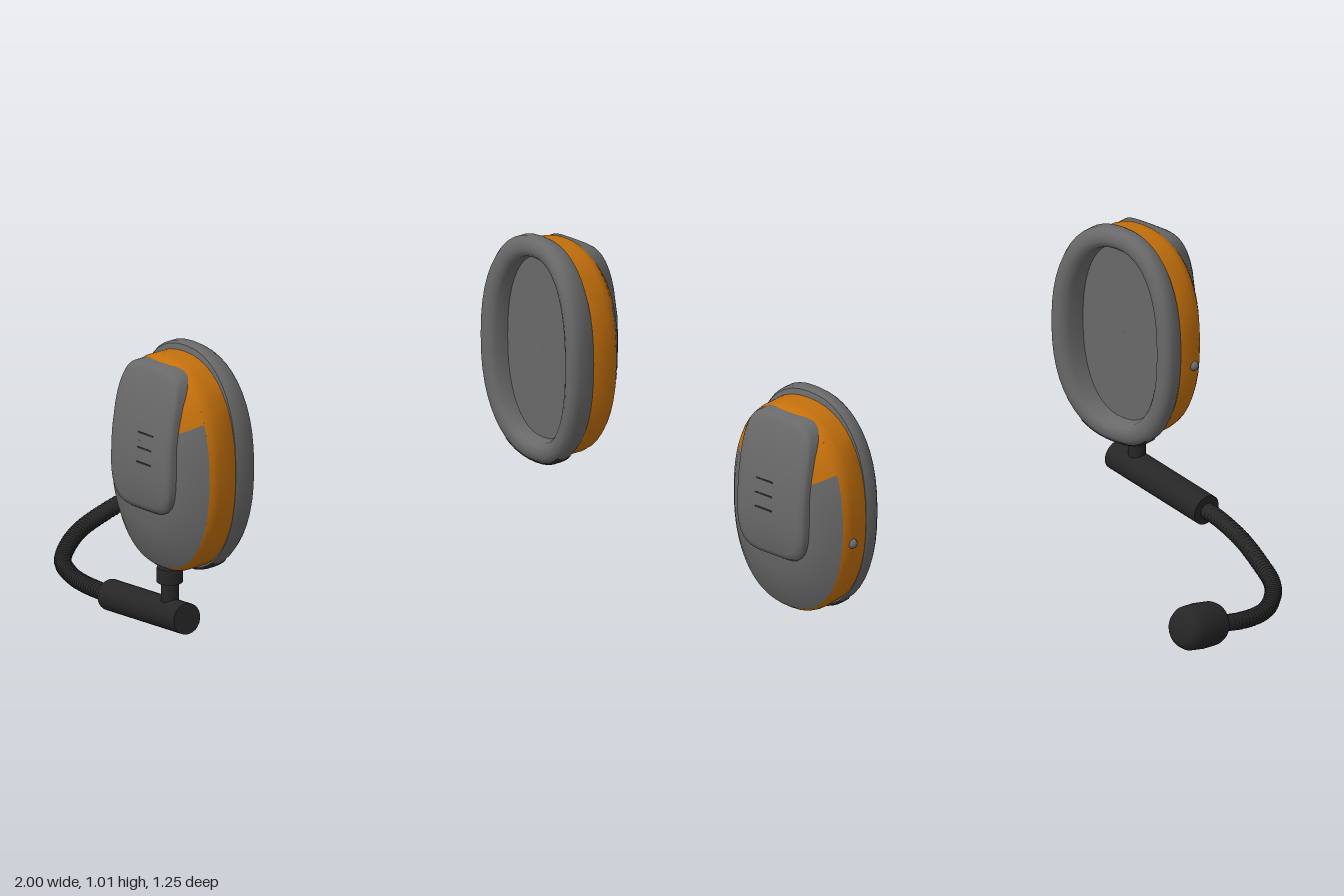
import * as THREE from 'three';
import { toCreasedNormals } from 'three/addons/utils/BufferGeometryUtils.js';

const mat = (name, color, side = THREE.FrontSide) => {
  const m = new THREE.MeshStandardMaterial({ color, side });
  m.name = name;
  return m;
};

const CZ = 0.375; // depth centre of the ear cups
const DEG = Math.PI / 180;

// Skin over superellipse rings [x, halfY, halfZ, centreY]; s = -1 mirrors in x
function loft(rings, s, { n = 2.3, from = 0, to = 360, warp = (x) => x, seg = 48 } = {}) {
  const pos = [], idx = [];
  const curve = (v) => Math.sign(v) * Math.pow(Math.abs(v), 2 / n);
  for (const [x, hy, hz, cy] of rings) {
    for (let j = 0; j <= seg; j++) {
      const t = (from + ((to - from) * j) / seg) * DEG;
      const y = cy + hy * curve(Math.sin(t));
      const z = CZ + hz * curve(Math.cos(t));
      pos.push(s * warp(x, y, z), y, z);
    }
  }
  const w = seg + 1;
  for (let i = 0; i < rings.length - 1; i++) {
    for (let j = 0; j < seg; j++) {
      const a = i * w + j, b = a + w, c = a + 1, d = b + 1;
      if (s > 0) idx.push(a, b, c, b, d, c);
      else idx.push(a, c, b, b, c, d);
    }
  }
  const g = new THREE.BufferGeometry();
  g.setAttribute('position', new THREE.Float32BufferAttribute(pos, 3));
  g.setIndex(idx);
  return toCreasedNormals(g, 0.7);
}

export function createModel() {
  const grey = mat('grey', 0x696969);
  const orange = mat('orange', 0xc4700c);
  const black = mat('black', 0x262626);
  const darkGrey = mat('darkGrey', 0x303030, THREE.DoubleSide);

  const root = new THREE.Group();
  root.name = 'headset';
  const add = (parent, name, geo, material) => {
    const m = new THREE.Mesh(geo, material);
    m.name = name;
    parent.add(m);
    return m;
  };

  // Cushion depth: 0 at the shell, 1 at the lip that curves around the head
  const cushionWarp = (f, y, z) => {
    const u = (z - CZ) / 0.245;
    return 0.8 - f * (0.065 + 0.03 * u * u + 0.015 * u);
  };
  const cushionRing = ([f, d]) => [f, 0.385 - d, 0.247 - d, 0.636];
  const slabWarp = (x, y) => x - 0.54 * (y - 0.64) ** 2;

  for (const s of [1, -1]) {
    const cup = new THREE.Group();
    cup.name = s > 0 ? 'leftEarCup' : 'rightEarCup';
    root.add(cup);

    // Padded ring with a recessed floor
    const section = [[0.12, 0.075], [0.75, 0.068], [0.93, 0.058], [1, 0.042],
      [0.97, 0.024], [0.85, 0.009], [0.65, 0], [0.25, 0], [0.08, 0.006], [0, 0.03]];
    add(cup, 'cushion', loft([[0.12, 0.001, 0.001, 0.636], ...section.map(cushionRing)], s,
      { warp: cushionWarp }), grey);
    add(cup, 'cushionPatch', loft([[0.84, 0.006], [0.65, -0.003], [0.25, -0.003], [0.05, 0.004]].map(cushionRing), s,
      { warp: cushionWarp, from: 240, to: 300, seg: 10 }), darkGrey);

    // Shell band
    add(cup, 'shell', loft([[0.78, 0.355, 0.232, 0.63], [0.79, 0.365, 0.24, 0.63],
      [0.865, 0.366, 0.242, 0.63], [0.885, 0.362, 0.24, 0.63], [0.9, 0.35, 0.232, 0.63]], s), orange);

    // Outer face: grey below, orange shoulders above
    const face = [[0.9, 0.35, 0.232, 0.63], [0.935, 0.3, 0.2, 0.64], [0.965, 0.22, 0.15, 0.66],
      [0.978, 0.1, 0.07, 0.72], [0.98, 0.001, 0.001, 0.76]];
    add(cup, 'outerFace', loft(face, s, { from: 151, to: 389 }), grey);
    add(cup, 'shoulder', loft(face, s, { from: 29, to: 151, seg: 24 }), orange);

    // Raised slab with short grooves
    add(cup, 'slab', loft([[0.9, 0.245, 0.145, 0.735], [0.985, 0.245, 0.145, 0.735],
      [0.995, 0.238, 0.138, 0.735], [1, 0.22, 0.12, 0.735], [1, 0.12, 0.065, 0.735],
      [1, 0.001, 0.001, 0.735]], s, { n: 4.5, warp: slabWarp }), grey);
    for (const y of [0.66, 0.71, 0.76]) {
      const groove = add(cup, 'groove', new THREE.BoxGeometry(0.004, 0.005, 0.07), darkGrey);
      groove.position.set(s * (slabWarp(1, y) - 0.001), y, 0.4);
    }

    // Small button on the back edge
    add(cup, 'button', new THREE.SphereGeometry(0.017, 12, 8), grey).position.set(s * 0.86, 0.565, 0.136);
  }

  // Microphone arm
  const mic = new THREE.Group();
  mic.name = 'microphoneArm';
  root.add(mic);
  const V = (x, y, z) => new THREE.Vector3(x, y, z);
  const up = V(0, 1, 0);
  const between = (name, geo, a, b) => {
    const m = add(mic, name, geo, black);
    m.position.copy(a).lerp(b, 0.5);
    m.quaternion.setFromUnitVectors(up, b.clone().sub(a).normalize());
  };
  between('collar', new THREE.CylinderGeometry(0.043, 0.043, 0.05, 20), V(-0.875, 0.225, 0.39), V(-0.875, 0.275, 0.39));
  between('post', new THREE.CylinderGeometry(0.029, 0.029, 0.13, 16), V(-0.875, 0.11, 0.39), V(-0.875, 0.24, 0.39));
  const podA = V(-0.89, 0.124, 0.488), podB = V(-0.825, 0.082, 0.052);
  between('pod', new THREE.CylinderGeometry(0.052, 0.052, podA.distanceTo(podB), 24), podA, podB);

  // Ribbed gooseneck
  const path = new THREE.CatmullRomCurve3([V(-0.828, 0.082, 0.07), V(-0.815, 0.077, 0), V(-0.77, 0.06, -0.14),
    V(-0.7, 0.042, -0.28), V(-0.62, 0.036, -0.4), V(-0.51, 0.045, -0.49), V(-0.4, 0.06, -0.545),
    V(-0.27, 0.085, -0.565), V(-0.13, 0.12, -0.555)]);
  const neck = new THREE.TubeGeometry(path, 180, 0.028, 12);
  const p = neck.attributes.position, nrm = neck.attributes.normal;
  for (let i = 0; i < p.count; i++) {
    const k = Math.floor(i / 13) % 3 === 0 ? -0.003 : 0.001;
    p.setXYZ(i, p.getX(i) + k * nrm.getX(i), p.getY(i) + k * nrm.getY(i), p.getZ(i) + k * nrm.getZ(i));
  }
  add(mic, 'gooseneck', neck, black);

  // Foam tip
  const foam = [[0.001, -0.088], [0.05, -0.088], [0.066, -0.078], [0.073, -0.06], [0.076, 0],
    [0.073, 0.055], [0.062, 0.076], [0.042, 0.088], [0.001, 0.09]].map(([r, y]) => new THREE.Vector2(r, y));
  between('foamTip', new THREE.LatheGeometry(foam, 28), V(-0.16, 0.117, -0.553), V(0.02, 0.153, -0.547));

  return root;
}
